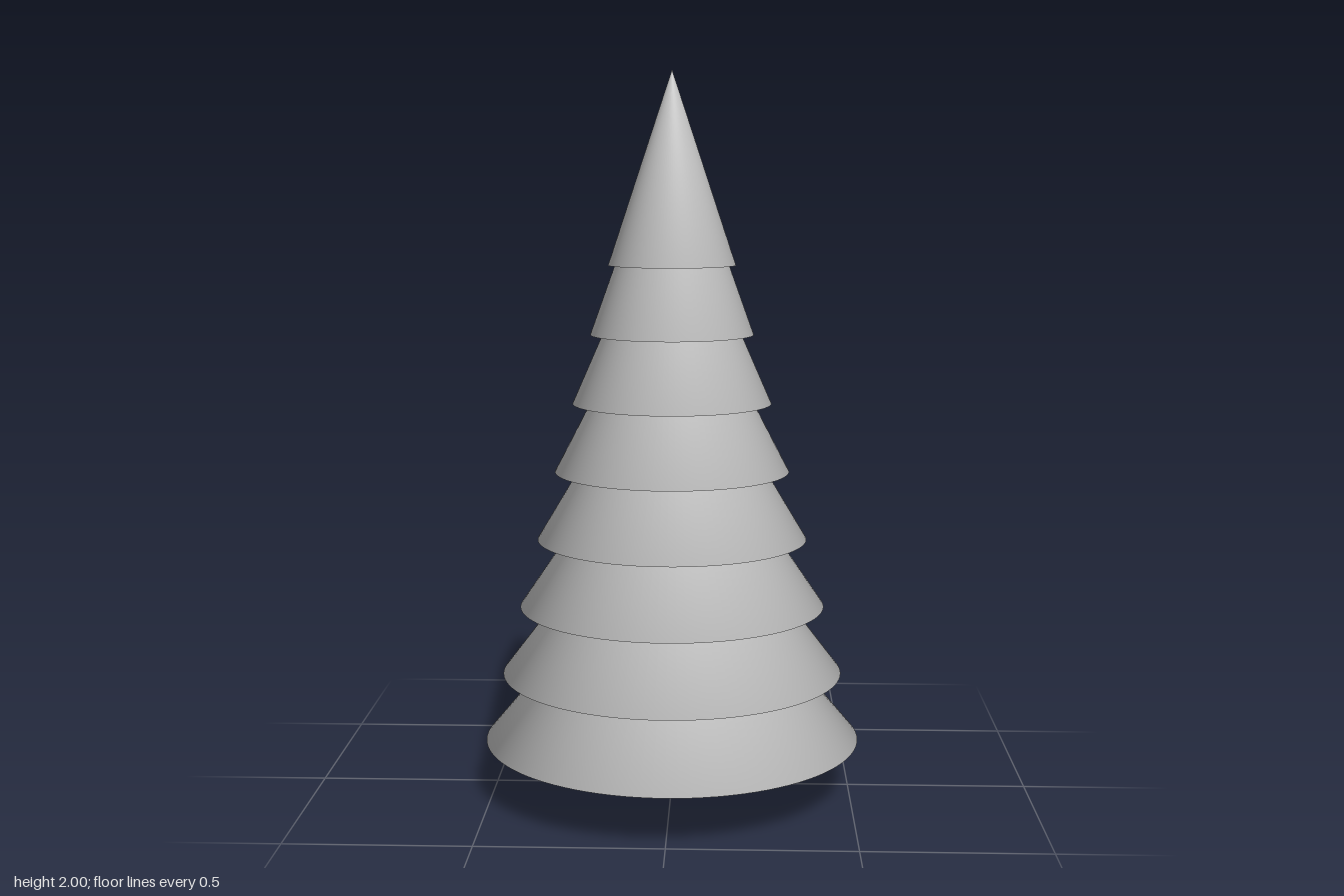
import * as THREE from 'three';

const grey = new THREE.MeshStandardMaterial({ color: 0xcccccc });
grey.name = 'light grey';

// Closed cone with normals smoothed around its bottom rim
function smoothCone(radius, height) {
  const profile = [[0, 0], [radius, 0], [0, height]].map(([x, y]) => new THREE.Vector2(x, y));
  const geometry = new THREE.LatheGeometry(profile, 96);
  const { position, normal } = geometry.attributes;
  for (let i = 1; i < position.count; i += 3) {
    normal.setXYZ(i, position.getX(i) / radius, 0, position.getZ(i) / radius);
  }
  return geometry;
}

export function createModel() {
  const tree = new THREE.Group();
  tree.name = 'conicalTree';

  // Trunk, just reaching into the lowest tier
  const trunk = new THREE.Mesh(new THREE.CylinderGeometry(0.0375, 0.0375, 0.16, 32), grey);
  trunk.name = 'trunk';
  trunk.position.y = 0.08;
  tree.add(trunk);

  // Eight foliage tiers, narrowing upwards
  const tiers = 8;
  for (let i = 0; i < tiers; i++) {
    const base = 0.145 + 0.19 * i;
    const height = i === tiers - 1 ? 2 - base : 0.625;
    const tier = new THREE.Mesh(smoothCone(0.525 - 0.05 * i, height), grey);
    tier.name = `foliageTier${i + 1}`;
    tier.position.y = base;
    tree.add(tier);
  }
  return tree;
}
